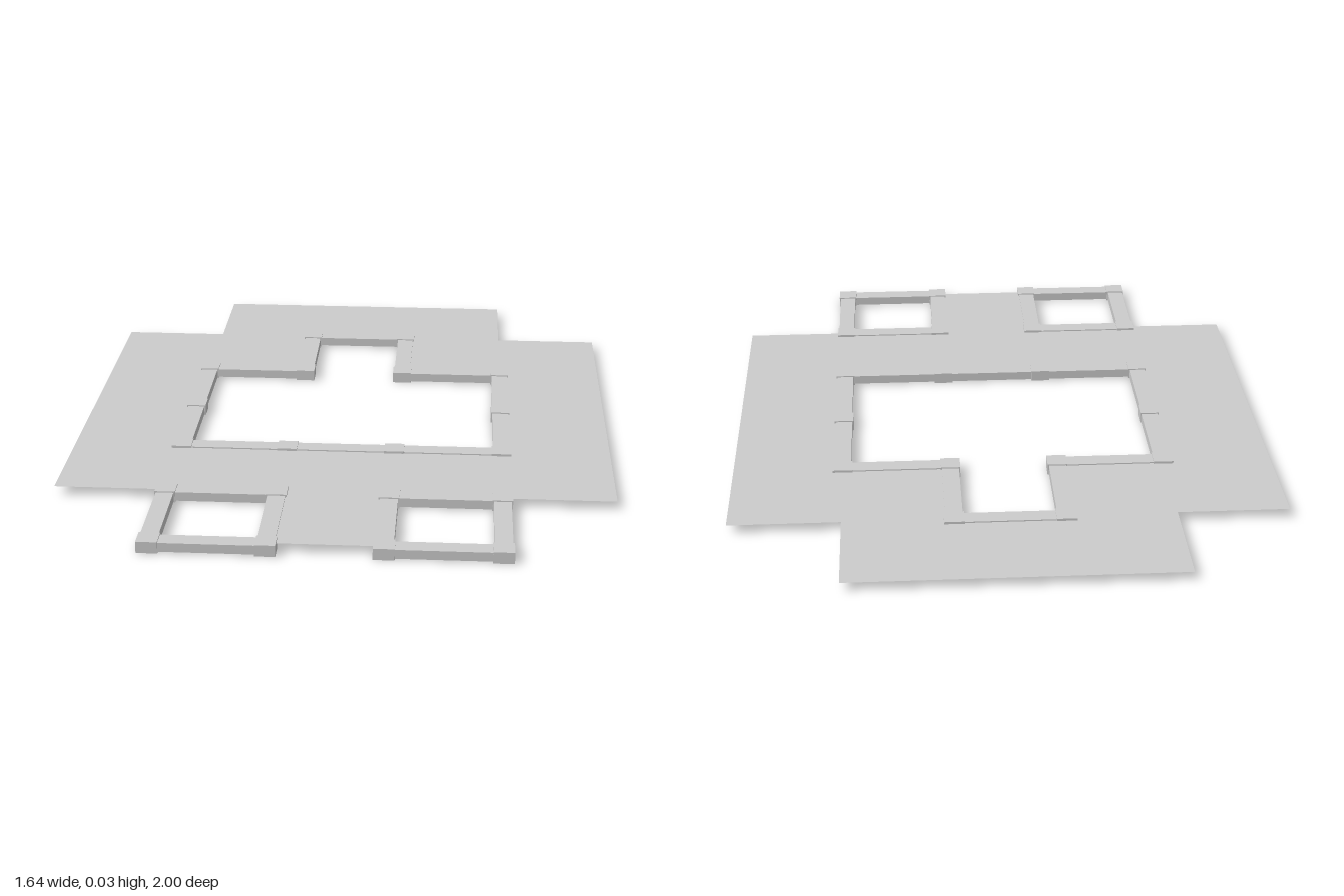
import * as THREE from 'three';

const A = 0.163, B = 0.49, C = 0.82;               // grid lines across x
const FRONT = 0.968, EDGE = 0.64, HALL = 0.31, MID = -0.018, BACK = -0.345, NICHE = -0.672;
const PAD = 0.06, PAD_H = 0.034, WALL = 0.052, WALL_H = 0.027, SHEET_Y = 0.027;

const material = new THREE.MeshStandardMaterial({ color: 0xcccccc, flatShading: true });
const sheetMaterial = new THREE.MeshStandardMaterial({ color: 0xcccccc, side: THREE.DoubleSide });

function box(name, w, h, d, x, z) {
  const mesh = new THREE.Mesh(new THREE.BoxGeometry(w, h, d), material);
  mesh.name = name;
  mesh.position.set(x, PAD_H / 2, z);
  return mesh;
}

// A closed ring of square posts joined by slightly slimmer beams
function frame(name, points) {
  const group = new THREE.Group();
  group.name = name;
  points.forEach(([x, z], i) => {
    const [nx, nz] = points[(i + 1) % points.length];
    const dx = Math.abs(nx - x), dz = Math.abs(nz - z);
    group.add(box('post', PAD, PAD_H, PAD, x, z));
    group.add(box('beam',
      dx > dz ? dx - PAD : WALL, WALL_H, dx > dz ? WALL : dz - PAD,
      (x + nx) / 2, (z + nz) / 2));
  });
  return group;
}

const toShape = (points) => points.map(([x, z]) => new THREE.Vector2(x, -z));

export function createModel() {
  const model = new THREE.Group();
  model.name = 'foundation';

  // Outline of the large opening with its niche at the back
  const opening = [
    [-B, HALL], [-A, HALL], [A, HALL], [B, HALL], [B, MID], [B, BACK],
    [A, BACK], [A, NICHE], [-A, NICHE], [-A, BACK], [-B, BACK], [-B, MID],
  ];
  model.add(frame('hallFrame', opening));

  // Two small square frames at the front
  for (const s of [-1, 1]) {
    model.add(frame(s > 0 ? 'leftFrontFrame' : 'rightFrontFrame',
      [[s * A, EDGE], [s * B, EDGE], [s * B, FRONT], [s * A, FRONT]]));
  }

  // Thin ground sheet, ending on the centre lines of the beams
  const half = [[A, FRONT], [A, EDGE], [C, EDGE], [C, NICHE], [B, NICHE], [B, -1]];
  const outline = [...half, ...half.map(([x, z]) => [-x, z]).reverse()];
  const shape = new THREE.Shape(toShape(outline));
  shape.holes.push(new THREE.Path(toShape(opening)));
  const sheet = new THREE.Mesh(new THREE.ShapeGeometry(shape).rotateX(-Math.PI / 2), sheetMaterial);
  sheet.name = 'groundSheet';
  sheet.position.y = SHEET_Y;
  model.add(sheet);

  return model;
}
